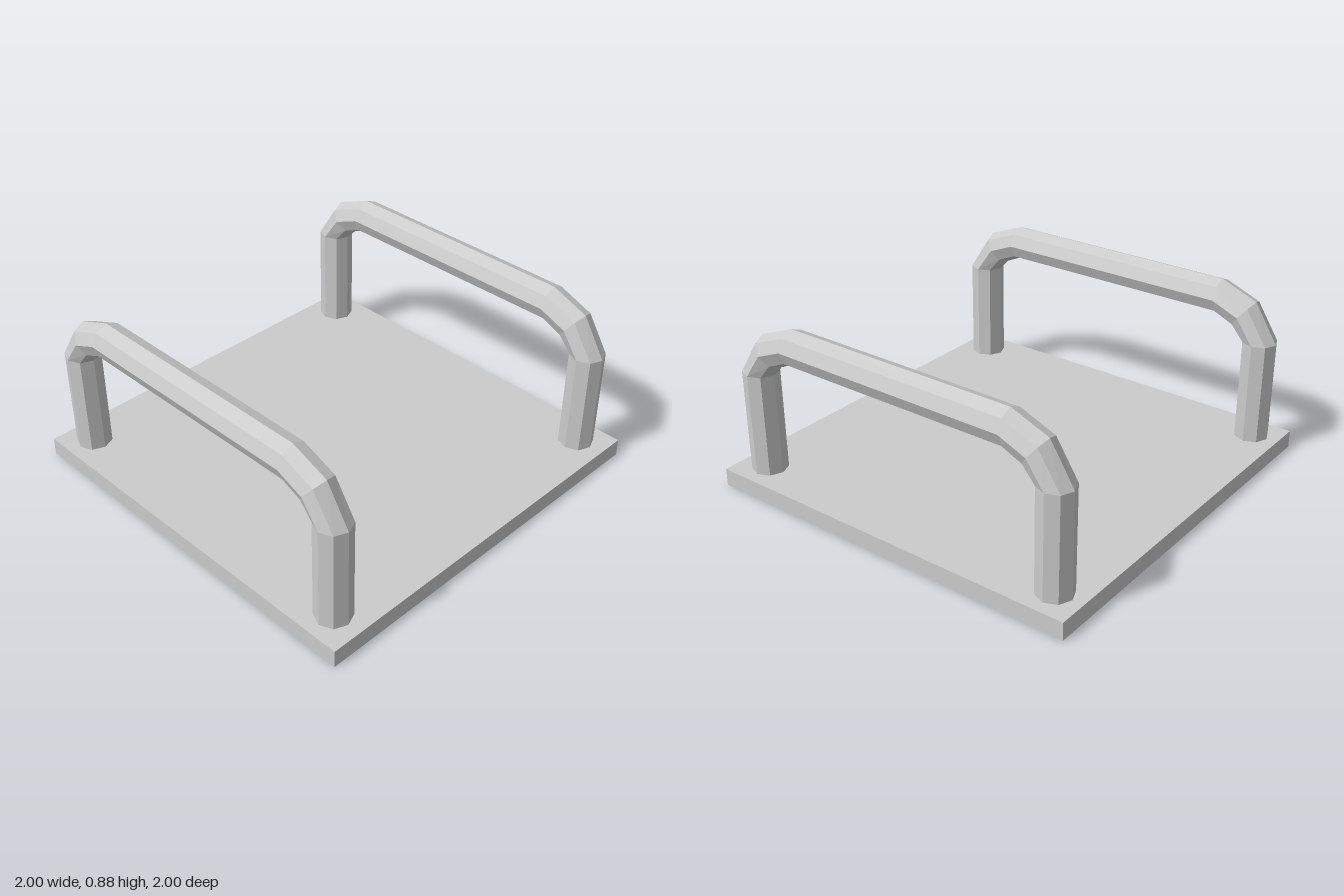
import * as THREE from 'three';

const SIDES = 8, RADIUS = 0.088, BASE_H = 0.09;

// Octagonal bar swept through rings: [z, y, angle of the ring's outward axis]
function barGeometry() {
  const half = [
    [0.85, BASE_H - 0.01, 0],
    [0.85, 0.61, 0],
    [0.76, 0.737, THREE.MathUtils.degToRad(52)],
    [0.62, 0.795, Math.PI / 2],
  ];
  const rings = [...half, ...half.map(([z, y, a]) => [-z, y, Math.PI - a]).reverse()];
  const positions = [], index = [];
  rings.forEach(([z, y, a], i) => {
    for (let j = 0; j < SIDES; j++) {
      const t = (j / SIDES) * Math.PI * 2;
      const out = RADIUS * Math.sin(t);
      positions.push(RADIUS * Math.cos(t), y + out * Math.sin(a), z + out * Math.cos(a));
      if (i === rings.length - 1) continue;
      const A = i * SIDES + j, B = i * SIDES + ((j + 1) % SIDES);
      index.push(A, A + SIDES, B, B, A + SIDES, B + SIDES);
    }
  });
  const geometry = new THREE.BufferGeometry();
  geometry.setAttribute('position', new THREE.Float32BufferAttribute(positions, 3));
  geometry.setIndex(index);
  geometry.computeVertexNormals();
  return geometry;
}

export function createModel() {
  const model = new THREE.Group();
  const material = new THREE.MeshStandardMaterial({ color: 0xcccccc, flatShading: true });

  // Square base plate
  const base = new THREE.Mesh(new THREE.BoxGeometry(2, BASE_H, 2), material);
  base.name = 'basePlate';
  base.position.y = BASE_H / 2;
  model.add(base);

  // A bent handle bar along each side
  const geometry = barGeometry();
  for (const [name, side] of [['leftHandle', 1], ['rightHandle', -1]]) {
    const handle = new THREE.Mesh(geometry, material);
    handle.name = name;
    handle.position.set(side * 0.853, 0, -0.005);
    model.add(handle);
  }
  return model;
}
